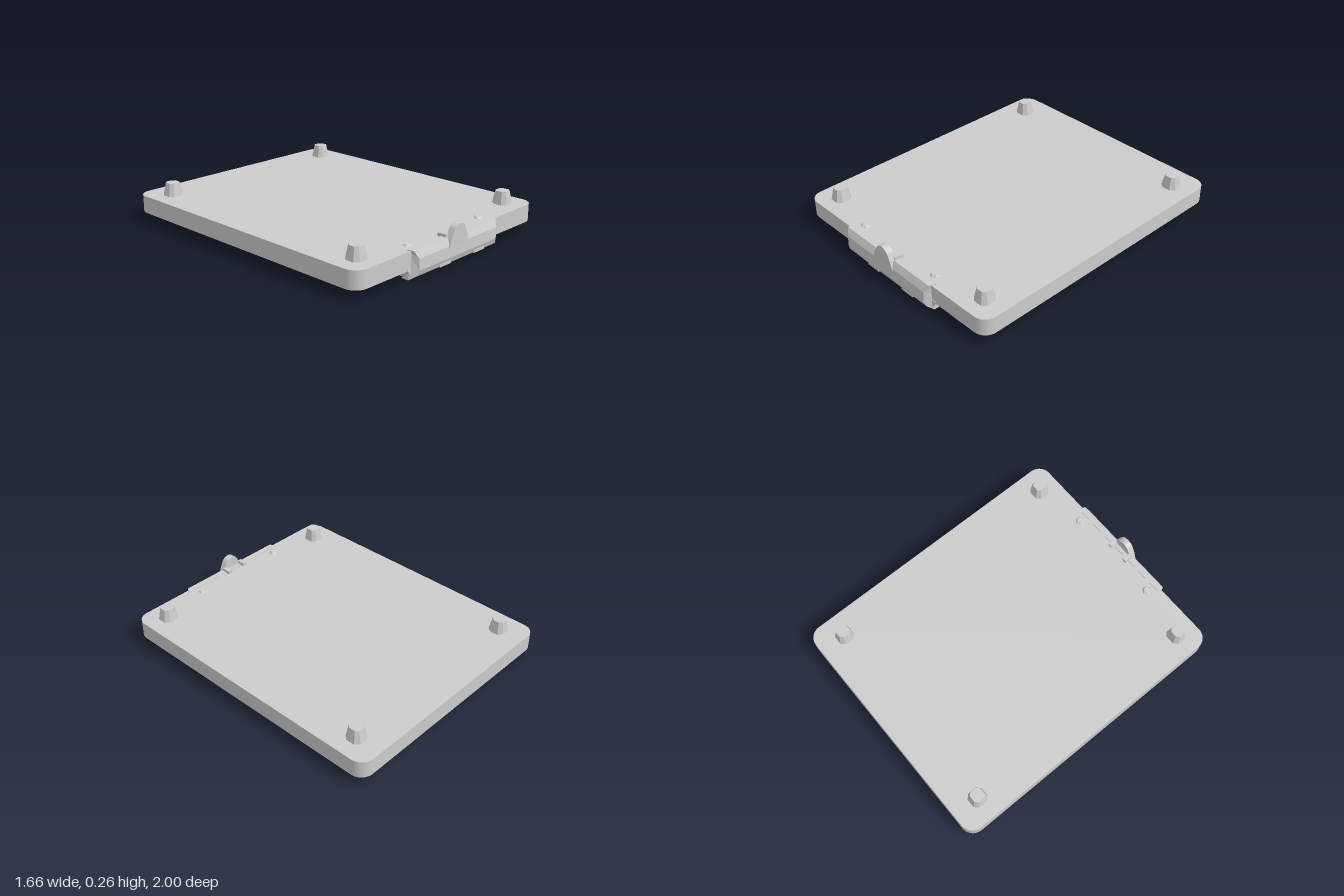
import * as THREE from 'three';

const smooth = new THREE.MeshStandardMaterial({ color: 0xcccccc });
const flat = new THREE.MeshStandardMaterial({ color: 0xcccccc, flatShading: true });

function part(name, geometry, material = flat) {
  const mesh = new THREE.Mesh(geometry, material);
  mesh.name = name;
  return mesh;
}

const polygon = (pts) => new THREE.Shape(pts.map(([x, y]) => new THREE.Vector2(x, y)));

// Move every vertex by a rule
function reshape(geometry, rule) {
  const p = geometry.attributes.position;
  const v = new THREE.Vector3();
  for (let i = 0; i < p.count; i++) {
    v.fromBufferAttribute(p, i);
    rule(v);
    p.setXYZ(i, v.x, v.y, v.z);
  }
  geometry.computeVertexNormals();
  return geometry;
}

// Extrude a (z, y) profile along x, between x0 and x1
function alongX(profile, x0, x1) {
  const g = new THREE.ExtrudeGeometry(polygon(profile), { depth: x1 - x0, bevelEnabled: false });
  return g.rotateY(-Math.PI / 2).translate(x1, 0, 0);
}

// Extrude an (x, -z) plan upwards from y
function upwards(shape, y, height, curveSegments = 8) {
  const g = new THREE.ExtrudeGeometry(shape, { depth: height, bevelEnabled: false, curveSegments });
  return g.rotateX(-Math.PI / 2).translate(0, y, 0);
}

function roundedPlan(w, h, r) {
  const s = new THREE.Shape();
  s.absarc(w - r, h - r, r, 0, Math.PI / 2);
  s.absarc(-w + r, h - r, r, Math.PI / 2, Math.PI);
  s.absarc(-w + r, -h + r, r, Math.PI, Math.PI * 1.5);
  s.absarc(w - r, -h + r, r, Math.PI * 1.5, Math.PI * 2);
  return s;
}

export function createModel() {
  const model = new THREE.Group();
  model.name = 'board';

  // Flat slab with rounded corners
  const slab = part('slab', upwards(roundedPlan(0.828, 0.978, 0.085), 0.068, 0.114), smooth);
  slab.position.z = -0.022;
  model.add(slab);

  // Four tapered feet with chamfered corners
  const a = 0.056, c = 0.03;
  const plan = polygon([[a, -c], [a, c], [c, a], [-c, a], [-a, c], [-a, -c], [-c, -a], [c, -a]]);
  const footGeometry = reshape(upwards(plan, 0.175, 0.09), (v) => {
    if (v.y > 0.2) { v.x *= 0.7; v.z *= 0.7; }
  });
  for (const x of [-0.677, 0.677]) {
    for (const z of [-0.82, 0.815]) {
      const foot = part('foot', footGeometry);
      foot.position.set(x, 0, z);
      model.add(foot);
    }
  }

  // Clip: front rail, end arms and finger tab
  const clip = new THREE.Group();
  clip.name = 'clip';
  model.add(clip);

  const railProfile = [[0.93, 0.186], [0.93, 0.03], [0.9, 0.012], [0.95, 0.01],
    [0.985, 0.035], [0.998, 0.07], [0.995, 0.14], [0.972, 0.186]];
  const rail = reshape(alongX(railProfile, -0.4, 0.4), (v) => {
    v.x -= Math.sign(v.x) * Math.max(0, v.z - 0.955) * 0.95;
  });
  clip.add(part('rail', rail));

  const armProfile = [[0.96, 0.08], [0.74, 0.08], [0.745, 0.062], [0.8, 0.01], [0.92, 0.01], [0.96, 0.03]];
  for (const side of [-1, 1]) {
    const arm = reshape(alongX(armProfile, -0.035, 0.035), (v) => {
      if (v.x * side > 0) v.x += side * (v.y - 0.02) * 0.6;
      v.x += side * 0.35;
    });
    clip.add(part('arm', arm));
  }

  // Raised slats on the rail face
  for (const x of [-0.12, 0.2]) {
    const slat = part('slat', new THREE.BoxGeometry(0.1, 0.03, 0.02));
    slat.position.set(x, 0.047, 0.982);
    clip.add(slat);
  }

  // Rounded finger tab with two short side posts
  const tab = new THREE.Shape();
  tab.moveTo(-0.1, 0.13);
  tab.lineTo(0.08, 0.13);
  tab.lineTo(0.065, 0.185);
  tab.lineTo(0.045, 0.228);
  tab.bezierCurveTo(0.025, 0.27, -0.04, 0.27, -0.055, 0.228);
  tab.lineTo(-0.08, 0.185);
  const tabGeometry = new THREE.ExtrudeGeometry(tab, { depth: 0.042, bevelEnabled: false, curveSegments: 10 });
  clip.add(part('tab', tabGeometry.translate(0, 0, 0.957)));
  for (const x of [-0.078, 0.058]) {
    const post = part('post', new THREE.BoxGeometry(0.03, 0.03, 0.06));
    post.position.set(x, 0.188, 0.935);
    clip.add(post);
  }

  // Low fixing bumps on the slab behind the rail
  for (const x of [-0.33, 0.33]) {
    const bump = part('bump', new THREE.CylinderGeometry(0.022, 0.034, 0.014, 6));
    bump.position.set(x, 0.186, 0.88);
    clip.add(bump);
  }

  return model;
}
